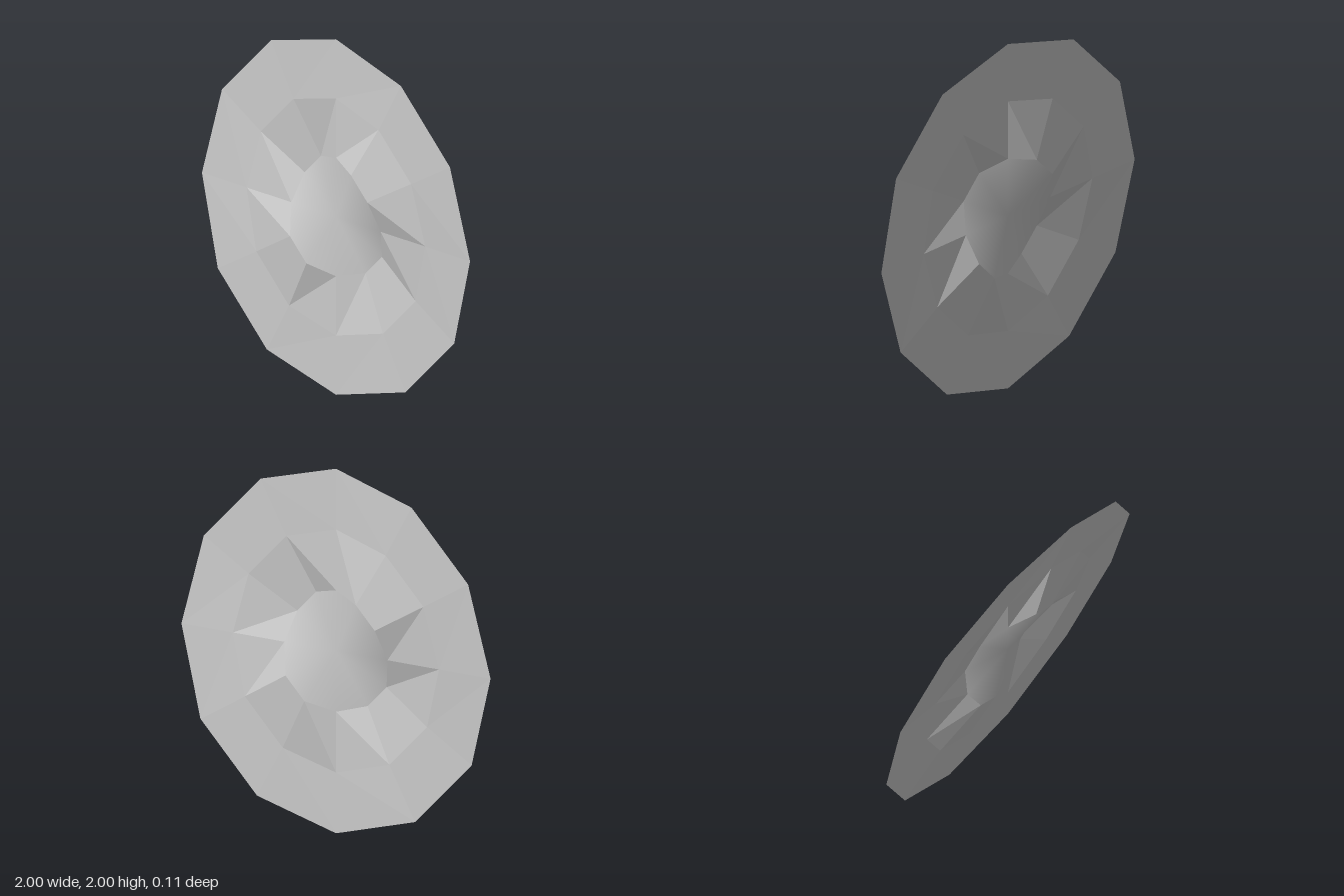
import * as THREE from 'three';
import { mergeVertices } from 'three/addons/utils/BufferGeometryUtils.js';

// Wave height at the centre, the two inner rings and the rim
const HEIGHTS = [0, 0.0635, 0.0195, 0.0185];

// Bend a flat disc: zero along both axes, humps and hollows in alternate quadrants
function bend(geometry) {
  const p = geometry.attributes.position;
  for (let i = 0; i < p.count; i++) {
    const x = p.getX(i), y = p.getY(i);
    const ring = Math.round(Math.hypot(x, y) * 3);
    p.setZ(i, HEIGHTS[ring] * Math.sin(2 * Math.atan2(y, x)));
  }
  return geometry;
}

function part(name, geometry, material) {
  const mesh = new THREE.Mesh(geometry, material);
  mesh.name = name;
  mesh.position.y = 1;
  return mesh;
}

export function createModel() {
  const group = new THREE.Group();
  group.name = 'rippledDisc';

  const grey = new THREE.MeshStandardMaterial({ color: 0xcccccc, side: THREE.DoubleSide });
  grey.name = 'grey';
  const facetedGrey = grey.clone();
  facetedGrey.flatShading = true;

  // Softly shaded middle, welded so its normals blend all the way round
  const centre = bend(new THREE.CircleGeometry(1 / 3, 12));
  centre.deleteAttribute('uv');
  centre.deleteAttribute('normal');
  const welded = mergeVertices(centre);
  welded.computeVertexNormals();
  group.add(part('discCentre', welded, grey));

  // Faceted rings out to the rim
  group.add(part('discRim', bend(new THREE.RingGeometry(1 / 3, 1, 12, 2)), facetedGrey));

  return group;
}
